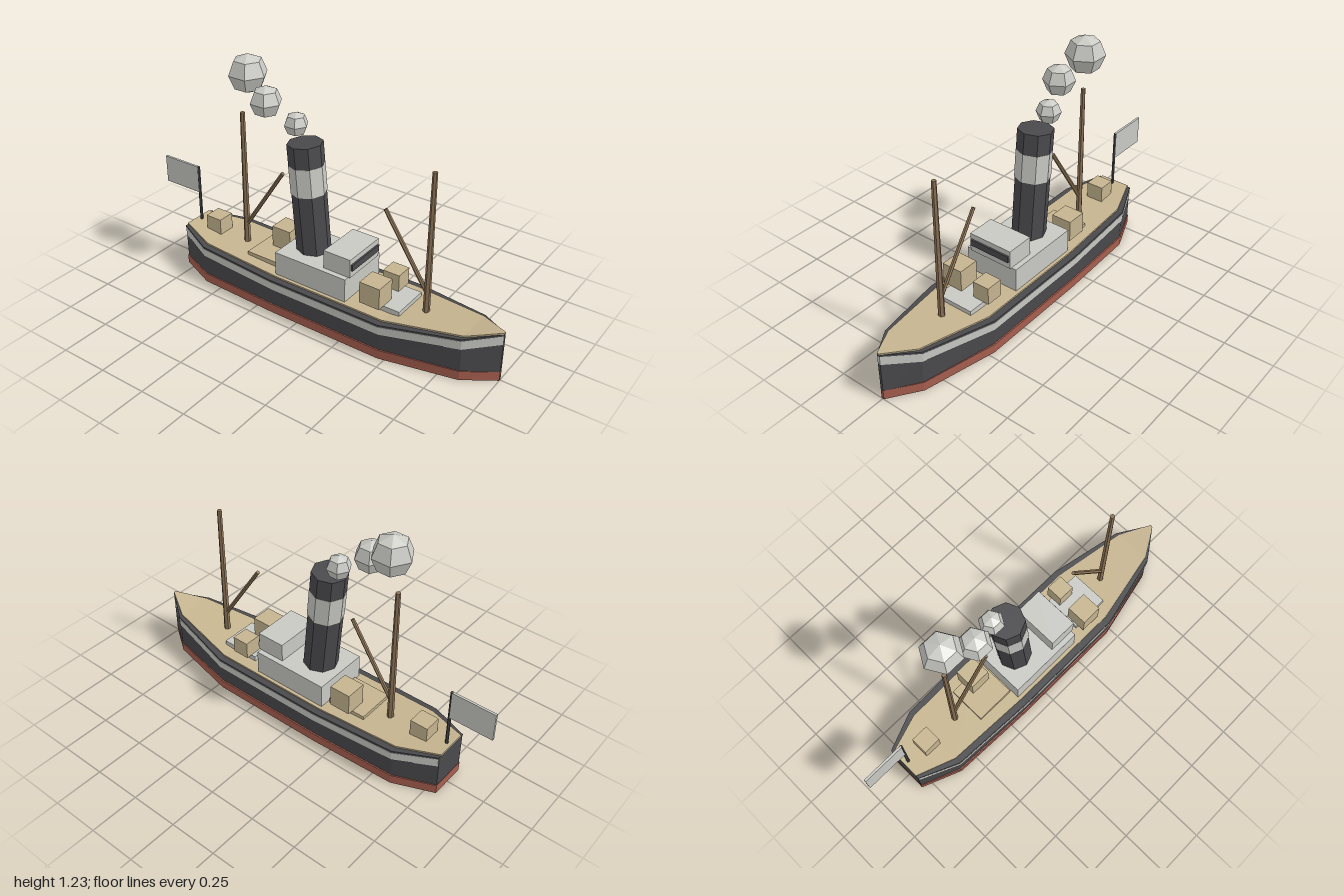
import * as THREE from 'three';

const mat = (name, color) => {
  const m = new THREE.MeshStandardMaterial({ color, flatShading: true });
  m.name = name;
  return m;
};

// Hull stations, stern to bow: x, half width, sheer height
const STATIONS = [
  [-0.8, 0.098, 0.228], [-0.6, 0.183, 0.208], [-0.15, 0.2, 0.19],
  [0.47, 0.2, 0.19], [0.85, 0.113, 0.225], [1.0, 0.007, 0.254],
];

// Closed slab following the hull plan between two height rules
function hullBand(lo, hi, scaleLo, scaleHi, sternShift = 0) {
  const rings = STATIONS.map(([sx, w, s], i) => {
    const x = i === 0 ? sx + sternShift : sx;
    return [
      [x, lo(s), w * scaleLo], [x, hi(s), w * scaleHi],
      [x, hi(s), -w * scaleHi], [x, lo(s), -w * scaleLo],
    ];
  });
  const pos = [];
  const quad = (a, b, c, d) => pos.push(...a, ...b, ...c, ...a, ...c, ...d);
  for (let i = 0; i < rings.length - 1; i++) {
    const a = rings[i], b = rings[i + 1];
    for (let j = 0; j < 4; j++) {
      const k = (j + 1) % 4;
      quad(a[j], b[j], b[k], a[k]);
    }
  }
  quad(...rings[0]);
  quad(...rings[rings.length - 1].slice().reverse());
  const g = new THREE.BufferGeometry();
  g.setAttribute('position', new THREE.Float32BufferAttribute(pos, 3));
  g.computeVertexNormals();
  return g;
}

export function createModel() {
  const ship = new THREE.Group();
  ship.name = 'steamship';

  const black = mat('hull black', 0x4a4a4d);
  const red = mat('boot red', 0xa85f50);
  const grey = mat('light grey', 0xc9c9c4);
  const tan = mat('deck tan', 0xc5b48f);
  const wood = mat('mast wood', 0x8c7355);
  const smoke = mat('smoke grey', 0xcbcbc6);

  const add = (name, geometry, material, parent = ship) => {
    const m = new THREE.Mesh(geometry, material);
    m.name = name;
    parent.add(m);
    return m;
  };
  // Box given by its x, y and z extents
  const box = (name, material, [x0, x1], [y0, y1], [z0, z1]) => {
    const m = add(name, new THREE.BoxGeometry(x1 - x0, y1 - y0, z1 - z0), material);
    m.position.set((x0 + x1) / 2, (y0 + y1) / 2, (z0 + z1) / 2);
    return m;
  };
  // Tapered pole between two points in the centre plane
  const pole = (name, material, [x0, y0], [x1, y1], r0, r1) => {
    const len = Math.hypot(x1 - x0, y1 - y0);
    const m = add(name, new THREE.CylinderGeometry(r1, r0, len, 6), material);
    m.position.set((x0 + x1) / 2, (y0 + y1) / 2, 0);
    m.rotation.z = -Math.atan2(x1 - x0, y1 - y0);
    return m;
  };

  // Hull
  add('hull', hullBand(() => 0, s => s + 0.002, 0.94, 0.975), black);
  add('bootTopping', hullBand(() => 0.001, () => 0.05, 0.975, 0.985, -0.002), red);
  add('sheerStripe', hullBand(s => s - 0.052, s => s - 0.006, 1, 1.01, 0.002), grey);
  add('rail', hullBand(s => s - 0.006, s => s + 0.003, 1, 1), black);
  add('deck', hullBand(s => s - 0.002, s => s + 0.011, 0.83, 0.83), tan);

  // Deckhouse and bridge
  box('deckhouse', grey, [-0.16, 0.25], [0.18, 0.325], [-0.148, 0.148]);
  box('bridge', grey, [0.11, 0.26], [0.325, 0.422], [-0.121, 0.121]);
  box('bridgeWindow', black, [0.26, 0.269], [0.36, 0.394], [-0.113, 0.113]);

  // Hatches and cargo
  box('foreHatch', grey, [0.315, 0.52], [0.18, 0.228], [-0.1, 0.1]);
  box('aftHatch', tan, [-0.375, -0.17], [0.18, 0.228], [-0.1, 0.1]);
  box('foreCrateLeft', tan, [0.325, 0.435], [0.228, 0.34], [0.03, 0.14]);
  box('foreCrateRight', tan, [0.34, 0.43], [0.226, 0.316], [-0.13, -0.04]);
  box('aftCrate', tan, [-0.31, -0.2], [0.228, 0.34], [-0.13, -0.02]);
  box('sternCrate', tan, [-0.695, -0.602], [0.215, 0.305], [-0.046, 0.046]);

  // Masts with cargo booms
  pole('aftMast', wood, [-0.46, 0.18], [-0.46, 0.935], 0.017, 0.012);
  pole('foreMast', wood, [0.605, 0.18], [0.605, 0.935], 0.017, 0.012);
  pole('aftBoom', wood, [-0.46, 0.31], [-0.22, 0.675], 0.011, 0.01);
  pole('foreBoom', wood, [0.605, 0.31], [0.365, 0.675], 0.011, 0.01);

  // Raked funnel in three bands
  const funnel = new THREE.Group();
  funnel.name = 'funnel';
  funnel.position.set(-0.034, 0.315, 0);
  funnel.rotation.z = 0.09;
  ship.add(funnel);
  [
    ['funnelBase', black, 0, 0.315, 0.086, 0.086],
    ['funnelBand', grey, 0.315, 0.46, 0.089, 0.089],
    ['funnelTop', black, 0.46, 0.567, 0.088, 0.088],
  ].forEach(([name, m, y0, y1, r0, r1]) => {
    add(name, new THREE.CylinderGeometry(r1, r0, y1 - y0, 8), m, funnel).position.y = (y0 + y1) / 2;
  });

  // Smoke puffs
  [
    [-0.152, 0.947, -0.022, 0.061],
    [-0.292, 1.041, 0.024, 0.08],
    [-0.434, 1.134, -0.022, 0.099],
  ].forEach(([x, y, z, r]) => {
    add('smokePuff', new THREE.SphereGeometry(r, 6, 4), smoke).position.set(x, y, z);
  });

  // Stern flag
  pole('flagStaff', black, [-0.775, 0.2], [-0.775, 0.545], 0.008, 0.008);
  box('flag', grey, [-1, -0.775], [0.397, 0.545], [-0.006, 0.006]);

  return ship;
}
